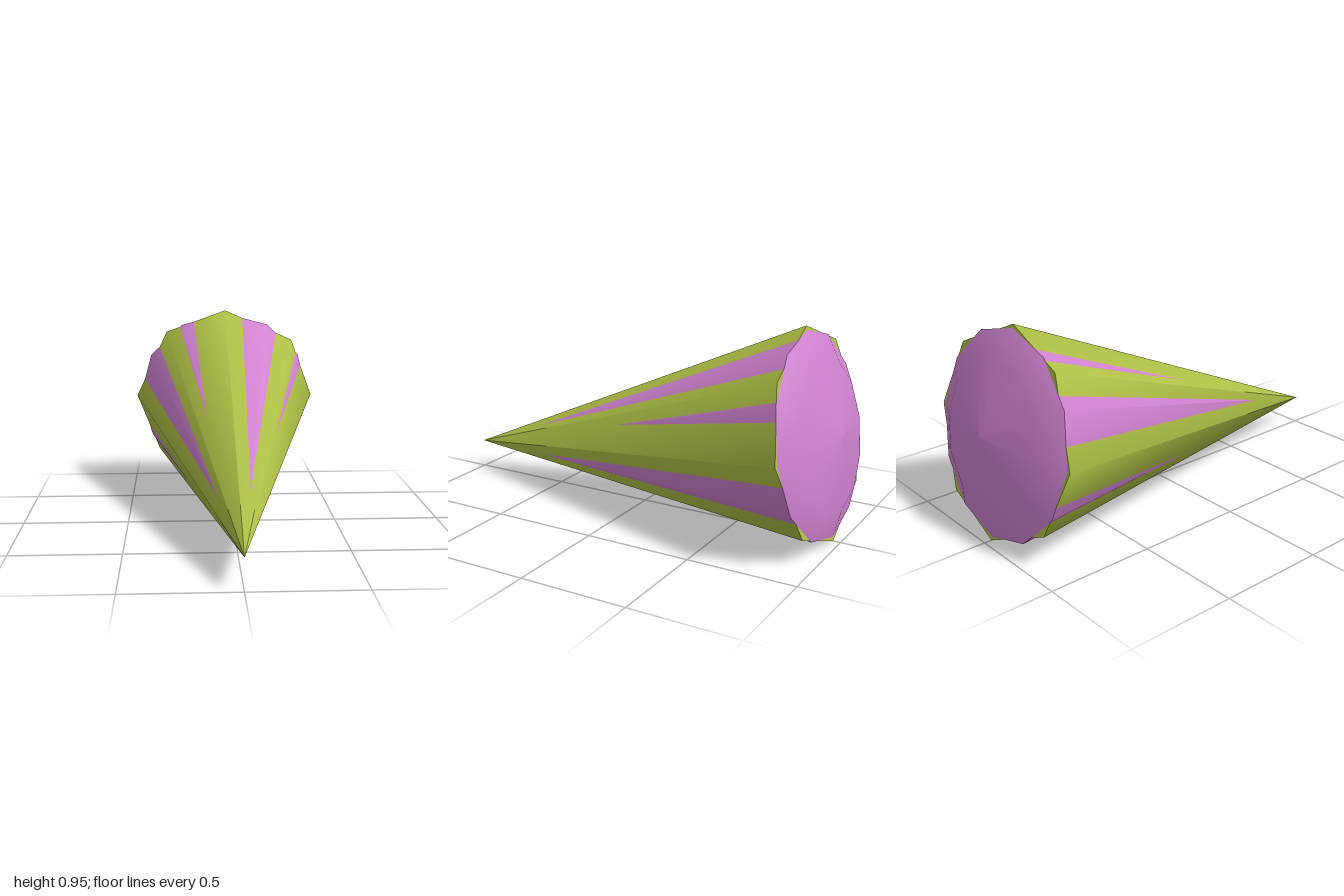
import * as THREE from 'three';

const LENGTH = 1.91;      // rim plane to tip
const GREEN_RADIUS = 0.485;
const PINK_RADIUS = 0.467;

export function createModel() {
  const green = new THREE.MeshStandardMaterial({ color: 0xb0c046 });
  green.name = 'olive green';
  const pink = new THREE.MeshStandardMaterial({ color: 0xd082d0 });
  pink.name = 'orchid pink';

  const model = new THREE.Group();
  model.name = 'stripedCone';

  // Local frame: rim plane at y = 0, tip at +y, then tipped so the tip faces front
  const body = new THREE.Group();
  body.name = 'body';
  body.position.set(0, 0.482, -0.88);
  body.rotation.x = Math.PI / 2 + Math.asin(0.1765);
  model.add(body);

  const add = (name, geometry, material) => {
    const mesh = new THREE.Mesh(geometry, material);
    mesh.name = name;
    body.add(mesh);
  };

  // Eight-sided outer cone, every other ridge twisted slightly around the axis
  const outer = new THREE.ConeGeometry(GREEN_RADIUS, LENGTH, 8);
  outer.translate(0, LENGTH / 2, 0);
  const pos = outer.attributes.position;
  for (let i = 0; i < pos.count; i++) {
    const x = pos.getX(i), z = pos.getZ(i);
    const r = Math.hypot(x, z);
    if (r < 1e-4) continue;
    let angle = Math.atan2(x, z);
    if (Math.abs(Math.round(angle / (Math.PI / 4))) % 2 === 1) angle -= THREE.MathUtils.degToRad(4);
    pos.setX(i, r * Math.sin(angle));
    pos.setZ(i, r * Math.cos(angle));
  }
  add('outerCone', outer, green);

  // Twelve-sided inner cone whose ridges break through as tapering stripes
  const innerLength = LENGTH * 0.985;
  const inner = new THREE.ConeGeometry(PINK_RADIUS, innerLength, 12, 1, true);
  inner.translate(0, innerLength / 2, 0);
  add('stripeCone', inner, pink);

  // Shallow dome closing the back
  const profile = [[0, -0.11], [0.333, -0.062], [PINK_RADIUS, 0]].map(([r, y]) => new THREE.Vector2(r, y));
  add('backDome', new THREE.LatheGeometry(profile, 12), pink);

  return model;
}
